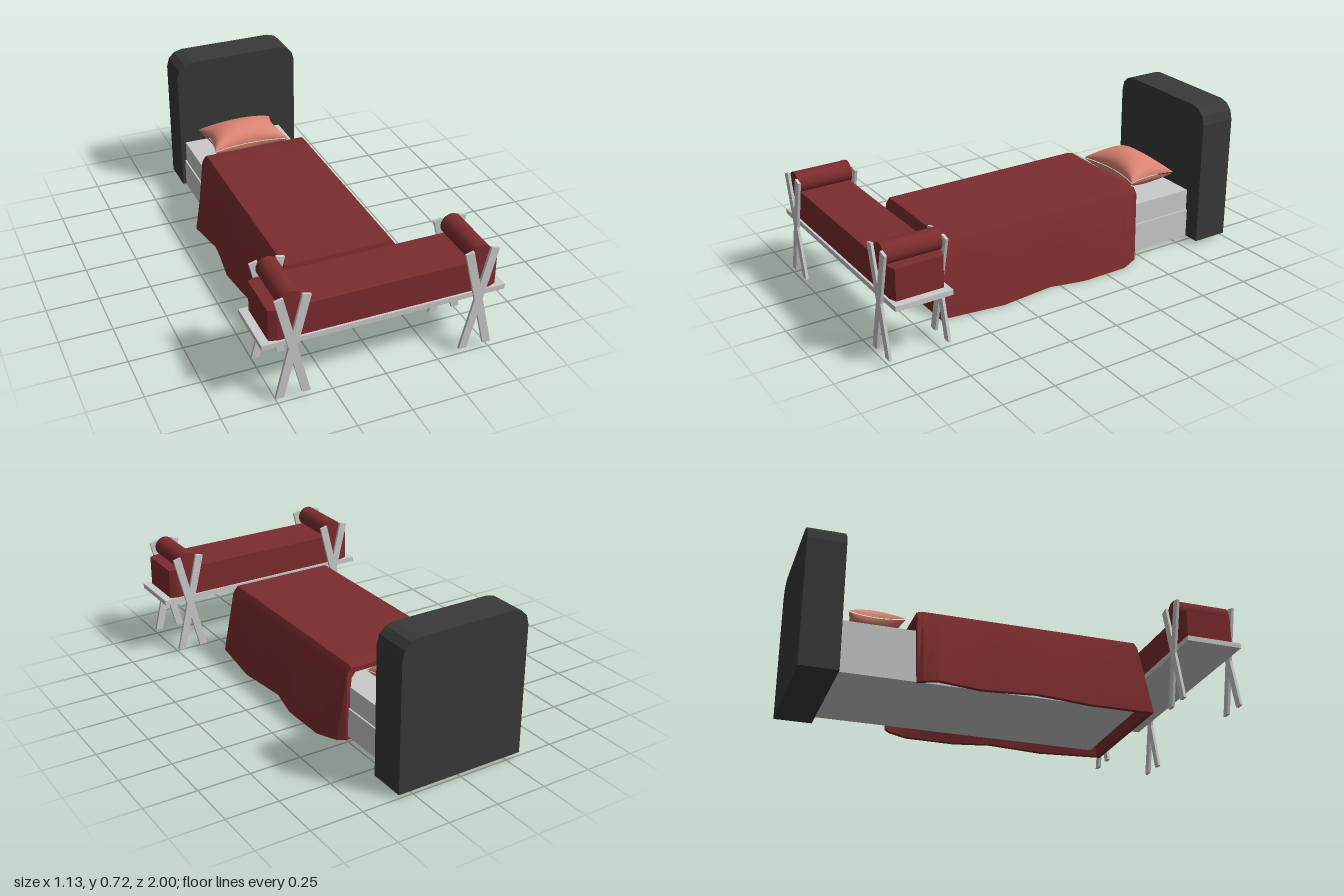
import * as THREE from 'three';
import { toCreasedNormals } from 'three/addons/utils/BufferGeometryUtils.js';

const material = (name, color, side = THREE.FrontSide) => {
  const m = new THREE.MeshStandardMaterial({ color, side });
  m.name = name;
  return m;
};

export function createModel() {
  const red = material('darkRedCloth', 0x7c2c2e, THREE.DoubleSide);
  const grey = material('paleGreyFrame', 0xcbcbcb);
  const charcoal = material('charcoalBoard', 0x393939);
  const salmon = material('salmonCloth', 0xdd8573);
  const model = new THREE.Group();
  model.name = 'bedWithBench';

  const add = (name, geometry, mat, parent = model) => {
    const mesh = new THREE.Mesh(geometry, mat);
    mesh.name = name;
    parent.add(mesh);
    return mesh;
  };
  // Box given by its limits
  const box = (name, mat, x0, x1, y0, y1, z0, z1, parent) => {
    const mesh = add(name, new THREE.BoxGeometry(x1 - x0, y1 - y0, z1 - z0), mat, parent);
    mesh.position.set((x0 + x1) / 2, (y0 + y1) / 2, (z0 + z1) / 2);
    return mesh;
  };
  const extrude = (points, depth) => new THREE.ExtrudeGeometry(
    new THREE.Shape(points.map(([x, y]) => new THREE.Vector2(x, y))),
    { depth, bevelEnabled: false });

  // Headboard with faceted upper corners
  const corner = [[0.322, 0.02], [0.322, 0.64], [0.31, 0.685], [0.28, 0.714], [0.238, 0.725]];
  const outline = [...corner, ...corner.map(([x, y]) => [-x, y]).reverse()];
  add('headboard', extrude(outline, 0.18), charcoal).position.z = -1;

  // Bed base and mattress
  box('bedBase', grey, -0.305, 0.24, 0.02, 0.163, -0.82, 0.56);
  box('mattress', grey, -0.297, 0.232, 0.163, 0.27, -0.82, 0.56);

  // Blanket: cross-sections along z, with a wavy hem and a thickness
  const hems = [ // z, left hem x, right hem x
    [-0.485, -0.35, 0.25], [-0.46, -0.365, 0.285], [-0.4, -0.39, 0.315], [-0.36, -0.383, 0.332],
    [-0.2, -0.355, 0.335], [-0.12, -0.362, 0.335], [0.05, -0.385, 0.297], [0.18, -0.37, 0.31],
    [0.32, -0.35, 0.325], [0.45, -0.35, 0.308], [0.63, -0.35, 0.285],
  ];
  const outer = hems.map(([z, l, r], i) => {
    const front = i === hems.length - 1;
    const top = i === 0 ? 0.362 : 0.37;
    const zc = front ? 0.582 : z, zt = front ? 0.574 : z;
    return [[l, 0.003, z], [-0.314, 0.335, zc], [-0.295, top, zt],
      [0.225, top, zt], [0.247, 0.335, zc], [r, 0.003, z]];
  });
  const inner = outer.map((ring, i) => ring.map(([x, y, z], j) => [
    x + (j < 3 ? 0.022 : -0.022),
    j === 0 || j === 5 ? y : y - 0.025,
    i === outer.length - 1 ? z - 0.025 : z]));
  const pos = [];
  const quad = (a, b, c, d) => pos.push(...a, ...b, ...c, ...a, ...c, ...d);
  const last = outer.length - 1;
  for (let i = 0; i < last; i++) {
    for (let j = 0; j < 5; j++) {
      quad(outer[i][j], outer[i + 1][j], outer[i + 1][j + 1], outer[i][j + 1]);
      quad(inner[i][j], inner[i][j + 1], inner[i + 1][j + 1], inner[i + 1][j]);
    }
    quad(outer[i][0], inner[i][0], inner[i + 1][0], outer[i + 1][0]);
    quad(outer[i][5], outer[i + 1][5], inner[i + 1][5], inner[i][5]);
  }
  for (let j = 0; j < 5; j++) quad(outer[0][j], outer[0][j + 1], inner[0][j + 1], inner[0][j]);
  // Front panel, its lining and hem
  const f = outer[last], b = inner[last];
  for (const [j, k] of [[0, 5], [1, 4]]) {
    quad(f[j], f[k], f[k - 1], f[j + 1]);
    quad(b[k], b[j], b[j + 1], b[k - 1]);
  }
  quad(f[5], f[0], b[0], b[5]);
  const cloth = new THREE.BufferGeometry();
  cloth.setAttribute('position', new THREE.Float32BufferAttribute(pos, 3));
  add('blanket', toCreasedNormals(cloth, 0.5), red);

  // Pillow: two puffed halves with pinched edges
  const pillow = new THREE.Group();
  pillow.name = 'pillow';
  pillow.position.set(-0.035, 0.35, -0.65);
  for (const s of [1, -1]) {
    const g = new THREE.PlaneGeometry(2, 2, 20, 20);
    const p = g.attributes.position;
    for (let i = 0; i < p.count; i++) {
      const u = Math.sin(p.getX(i) * Math.PI / 2), v = Math.sin(p.getY(i) * Math.PI / 2);
      const puff = Math.sqrt(Math.max(0, (1 - u * u) * (1 - v * v)));
      p.setXYZ(i, u * 0.2 * (1 - 0.13 * (1 - v * v)),
        s * (0.002 + 0.079 * Math.pow(puff, 0.9)),
        -s * v * 0.13 * (1 - 0.24 * (1 - u * u)));
    }
    g.computeVertexNormals();
    add(s > 0 ? 'pillowTop' : 'pillowBottom', g, salmon, pillow);
  }
  model.add(pillow);

  // Bench at the foot of the bed
  const bench = new THREE.Group();
  bench.name = 'bench';
  model.add(bench);
  box('benchBoard', grey, -0.563, 0.563, 0.287, 0.311, 0.717, 0.987, bench);

  // Seat cushion with tapered ends
  const plan = [[-0.525, -0.112], [-0.49, -0.125], [0.49, -0.125], [0.525, -0.112],
    [0.525, 0.112], [0.49, 0.125], [-0.49, 0.125], [-0.525, 0.112]];
  const cushion = add('benchCushion', extrude(plan, 0.149), red, bench);
  cushion.rotation.x = -Math.PI / 2;
  cushion.position.set(0, 0.311, 0.851);

  // Bolsters and crossed legs at both ends
  const slat = [[-0.079, 0.028], [-0.041, 0.028], [0.08, 0.52], [0.042, 0.53]];
  const mirrored = slat.map(([x, y]) => [-x, y]).reverse();
  for (const side of [-1, 1]) {
    const bolster = add('bolster', new THREE.CylinderGeometry(0.051, 0.051, 0.268, 20), red, bench);
    bolster.rotation.x = Math.PI / 2;
    bolster.position.set(side * 0.432, 0.495, 0.852);
    for (const z of [0.704, 0.987]) {
      for (const shape of [slat, mirrored]) {
        add('crossedLeg', extrude(shape, 0.013), grey, bench).position.set(side * 0.43, 0, z);
      }
    }
  }
  return model;
}
